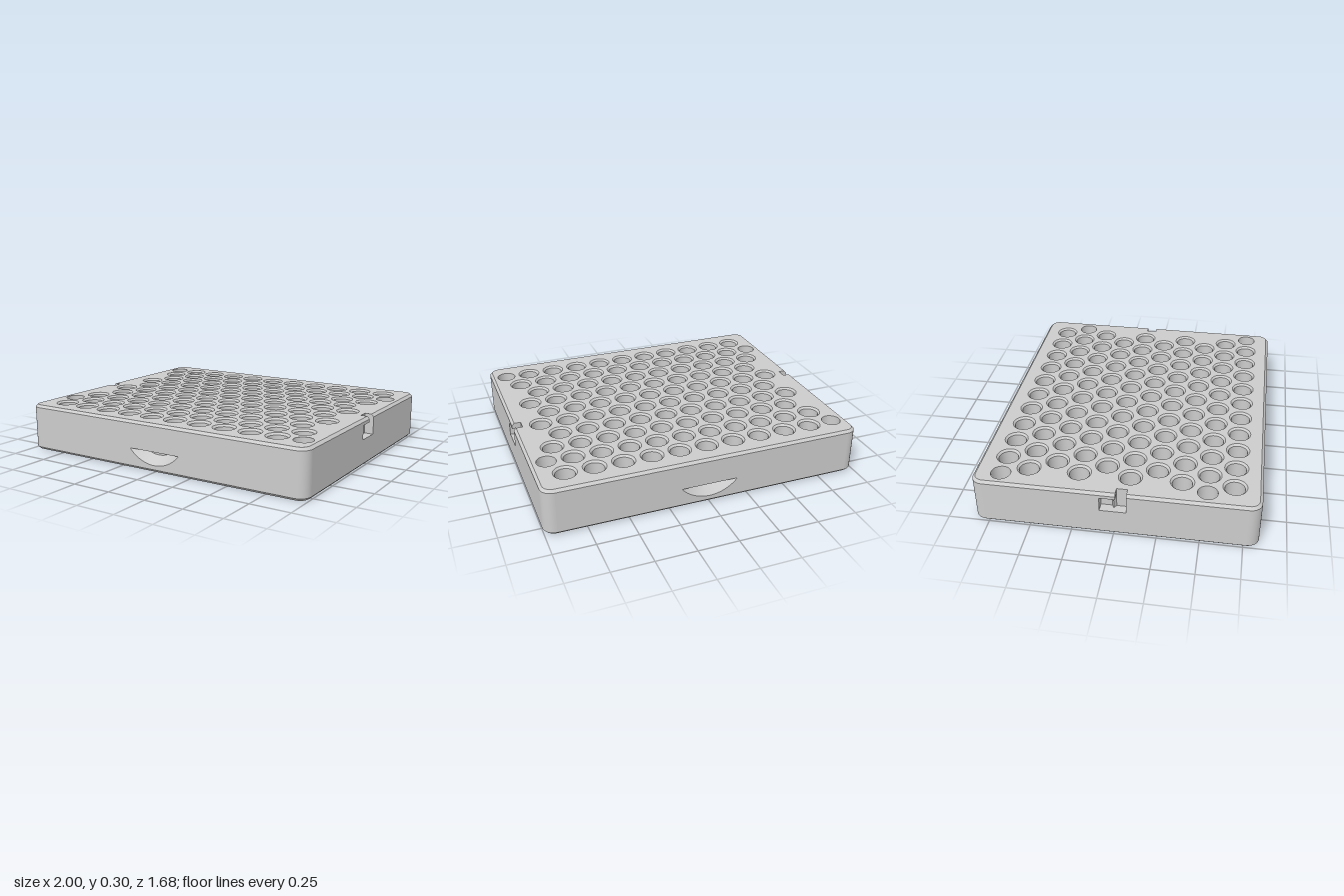
import * as THREE from 'three';
import { toCreasedNormals } from 'three/addons/utils/BufferGeometryUtils.js';

const W = 1, D = 0.84, H = 0.296, R = 0.07, C = 0.016;   // half width, half depth, height, corner, chamfer
const SLOT = { near: -0.013, far: -0.077, end: 0.08, low: 0.17, roof: 0.26, floor: 0.943 };

const grey = new THREE.MeshStandardMaterial({ color: 0xcccccc, side: THREE.DoubleSide });
grey.name = 'light grey';

function mesh(name, geometry, parent) {
  const m = new THREE.Mesh(geometry, grey);
  m.name = name;
  parent.add(m);
  return m;
}

// Strip of quads between two rows of [x, y, z] points
function loft(a, b) {
  const pos = [];
  for (let i = 0; i < a.length - 1; i++) {
    pos.push(...a[i], ...a[i + 1], ...b[i + 1], ...a[i], ...b[i + 1], ...b[i]);
  }
  const g = new THREE.BufferGeometry();
  g.setAttribute('position', new THREE.Float32BufferAttribute(pos, 3));
  g.computeVertexNormals();
  return toCreasedNormals(g, 0.5);
}

const flat = (pts) => new THREE.Shape(pts.map(([x, y]) => new THREE.Vector2(x, y)));

// Rounded corner as [x, z] points; sx picks the left or right front corner
function corner(sx, inset) {
  const pts = [], start = sx > 0 ? 0 : Math.PI / 2;
  for (let i = 0; i <= 10; i++) {
    const t = start + (i / 10) * Math.PI / 2;
    pts.push([sx * (W - R) + (R - inset) * Math.cos(t), D - R + (R - inset) * Math.sin(t)]);
  }
  return pts;
}

// Half of the outline, from one slot round the front to the other
const halfRim = (inset) => [
  [W - inset, SLOT.near], ...corner(1, inset), ...corner(-1, inset), [-(W - inset), -SLOT.far],
];
const turn = (pts) => pts.map(([x, z]) => [-x, -z]);
const at = (pts, y) => pts.map(([x, z]) => [x, y, z]);

// Bore centres: ten staggered rows, plus four plain pockets at row ends
function boreCentres() {
  const bores = [], pockets = [];
  for (let row = 0; row < 10; row++) {
    const z = -0.68 + row * 0.1511;
    const odd = row % 2;
    for (let i = 0; i < 10; i++) bores.push([(odd ? -0.829 : -0.741) + i * 0.1744, z]);
    if (row === 0 || row === 8) pockets.push([-0.901, z]);
    if (row === 1 || row === 9) pockets.push([0.901, z]);
  }
  return { bores, pockets };
}

// Scooped finger grip in the front wall
function fingerGrip(parent) {
  const cy = 0.275, top = 0.125, depth = 0.053;
  const arc = (r, z) => {
    const a = Math.acos((cy - top) / r), pts = [];
    for (let i = 0; i <= 24; i++) {
      const t = -a + (2 * a * i) / 24;
      pts.push([r * Math.sin(t), cy - r * Math.cos(t), z]);
    }
    return pts;
  };
  const outer = arc(0.233, D), inner = arc(0.18, D - depth);
  const panel = flat([[-W + R, C], [W - R, C], [W - R, H - C], [-W + R, H - C]]);
  panel.holes.push(flat(outer));
  mesh('frontWall', new THREE.ShapeGeometry(panel).translate(0, 0, D), parent);
  mesh('gripSlope', loft(outer, inner), parent);
  mesh('gripBack', new THREE.ShapeGeometry(flat(inner)).translate(0, 0, D - depth), parent);
  mesh('gripCeiling', loft([inner[0], inner[24]], [outer[0], outer[24]]), parent);
}

// Side wall with a bayonet slot that opens at the top
function slottedSide(parent) {
  const { near, far, end, low, roof, floor } = SLOT;
  const lShape = (y) => [[-far, y], [-far, low], [-end, low], [-end, roof], [-near, roof], [-near, y]];
  const side = (pts, x) => new THREE.ShapeGeometry(flat(pts)).rotateY(Math.PI / 2).translate(x, 0, 0);
  mesh('sideWall', side([
    [-D + R, C], [D - R, C], [D - R, H - C], ...lShape(H - C), [-D + R, H - C],
  ], W), parent);
  mesh('slotFloor', side(lShape(H), floor), parent);
  // slot walls follow the chamfer at the top
  const path = [
    [far, H, W - C], [far, H - C, W], [far, low, W], [end, low, W],
    [end, roof, W], [near, roof, W], [near, H - C, W], [near, H, W - C],
  ];
  mesh('slotWalls', loft(path.map(([z, y]) => [floor, y, z]), path.map(([z, y, x]) => [x, y, z])), parent);
  // small click ridge inside the slot
  const ridge = (y) => [[floor, y, 0.013], [floor + 0.022, y, 0], [floor, y, near]];
  mesh('slotRidge', loft(ridge(low), ridge(roof)), parent);
}

export function createModel() {
  const model = new THREE.Group();
  model.name = 'tubeRack';
  const { bores, pockets } = boreCentres();
  const boreR = 0.059, mouthR = 0.071, lip = 0.012;

  // Top face, pierced by every bore and notched for the slots
  const rim = halfRim(C), n = SLOT.floor;
  const notch = [[-n, -SLOT.far], [-n, -SLOT.near]];
  const top = flat([...rim, ...notch, ...turn(rim), ...turn(notch)].map(([x, z]) => [x, -z]));
  const pierce = (list, r) => list.forEach(([x, z]) => {
    top.holes.push(new THREE.Path().absarc(x, -z, r, 0, Math.PI * 2, true));
  });
  pierce(bores, mouthR);
  pierce(pockets, boreR);
  mesh('topFace', new THREE.ShapeGeometry(top, 16).rotateX(-Math.PI / 2).translate(0, H, 0), model);

  // Bores with chamfered mouths and plain corner pockets
  const lathe = (pts) => toCreasedNormals(
    new THREE.LatheGeometry(pts.map(([x, y]) => new THREE.Vector2(x, y)), 32), 0.5);
  const boreGeo = lathe([[mouthR, H], [boreR, H - lip], [boreR, 0.08], [0, 0.08]]);
  const pocketGeo = lathe([[boreR, H], [boreR, 0.18], [0, 0.18]]);
  bores.forEach(([x, z]) => mesh('bore', boreGeo, model).position.set(x, 0, z));
  pockets.forEach(([x, z]) => mesh('cornerPocket', pocketGeo, model).position.set(x, 0, z));

  // One half of the walls, repeated by a half turn
  const half = new THREE.Group();
  half.name = 'frontHalf';
  fingerGrip(half);
  slottedSide(half);
  for (const s of [1, -1]) {
    mesh('cornerWall', loft(at(corner(s, 0), H - C), at(corner(s, 0), C)), half);
  }
  mesh('topChamfer', loft(at(rim, H), at(halfRim(0), H - C)), half);
  const back = half.clone();
  back.name = 'backHalf';
  back.rotation.y = Math.PI;
  model.add(half, back);

  // Bottom chamfer and base
  const loop = (inset) => {
    const h = halfRim(inset);
    return [...h, ...turn(h), h[0]];
  };
  mesh('bottomChamfer', loft(at(loop(0), C), at(loop(C), 0)), model);
  mesh('base', new THREE.ShapeGeometry(flat(loop(C).slice(0, -1))).rotateX(Math.PI / 2), model);
  return model;
}
